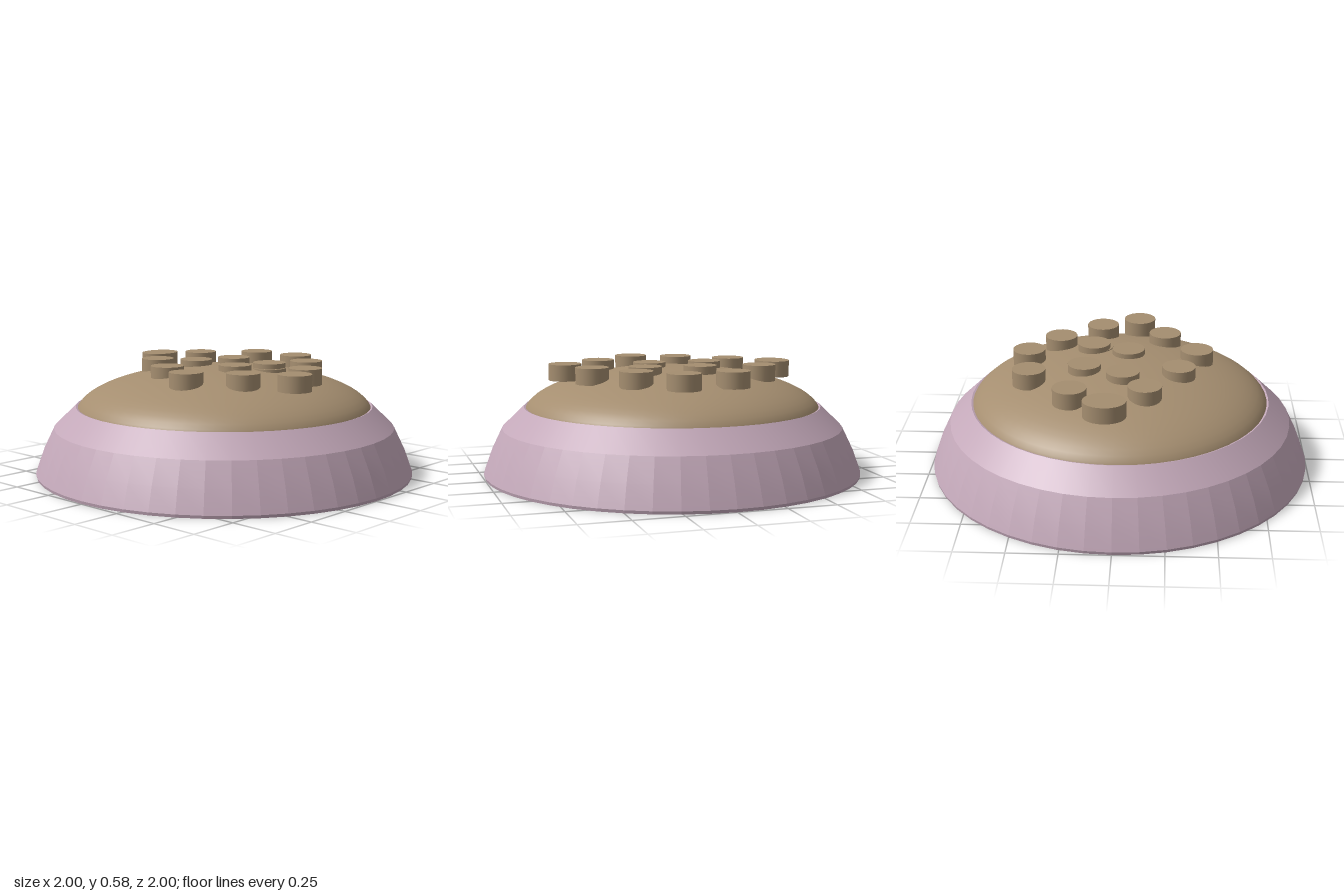
import * as THREE from 'three';
import { toCreasedNormals } from 'three/addons/utils/BufferGeometryUtils.js';

const PINK = 0xc3a8b9, BROWN = 0xa58e70;

export function createModel() {
  const model = new THREE.Group();
  model.name = 'studdedDome';

  // Thick hollow skirt: inner wall, foot, outer wall, top lip.
  // The steep bands stay faceted, the sloping ones smooth.
  const profile = [
    [0.77, 0.26], [0.93, 0.1], [0.975, 0], [0.997, 0], [1, 0.015],
    [0.958, 0.13], [0.9, 0.25], [0.785, 0.36], [0.77, 0.355],
  ].map(([r, y]) => new THREE.Vector2(r, y));
  const skirt = new THREE.Mesh(
    toCreasedNormals(new THREE.LatheGeometry(profile, 48), 0.11),
    new THREE.MeshStandardMaterial({ color: PINK, side: THREE.DoubleSide })
  );
  skirt.name = 'skirt';
  model.add(skirt);

  const brown = new THREE.MeshStandardMaterial({ color: BROWN });

  // Flattened ball held by the skirt, its belly showing underneath
  const dome = new THREE.Mesh(new THREE.SphereGeometry(1, 64, 32), brown);
  dome.name = 'dome';
  dome.scale.set(0.785, 0.24, 0.785);
  dome.position.y = 0.32;
  model.add(dome);

  // Flat-topped studs scattered over the dome: x, z
  const spots = [
    [-0.175, -0.46], [0.09, -0.485], [0.29, -0.33], [-0.4, -0.235], [-0.095, -0.18],
    [0.19, -0.145], [0.462, -0.11], [-0.545, -0.055], [-0.185, 0.022], [0.115, 0.042],
    [0.56, 0.092], [-0.363, 0.138], [0.347, 0.235], [-0.115, 0.308], [0.117, 0.405],
  ];
  const studs = new THREE.Group();
  studs.name = 'studs';
  const studGeometry = new THREE.CylinderGeometry(0.086, 0.086, 0.085, 24);
  spots.forEach(([x, z], i) => {
    const stud = new THREE.Mesh(studGeometry, brown);
    stud.name = 'stud' + (i + 1);
    stud.position.set(x, 0.5425, z);
    if (i === 7) stud.scale.set(1.04, 1, 1.25); // the one oval stud
    studs.add(stud);
  });

  // Low stud half sunk beside its neighbour
  const sunken = new THREE.Mesh(studGeometry, brown);
  sunken.name = 'sunkenStud';
  sunken.position.set(0.205, 0.517, -0.13);
  studs.add(sunken);

  model.add(studs);
  return model;
}
